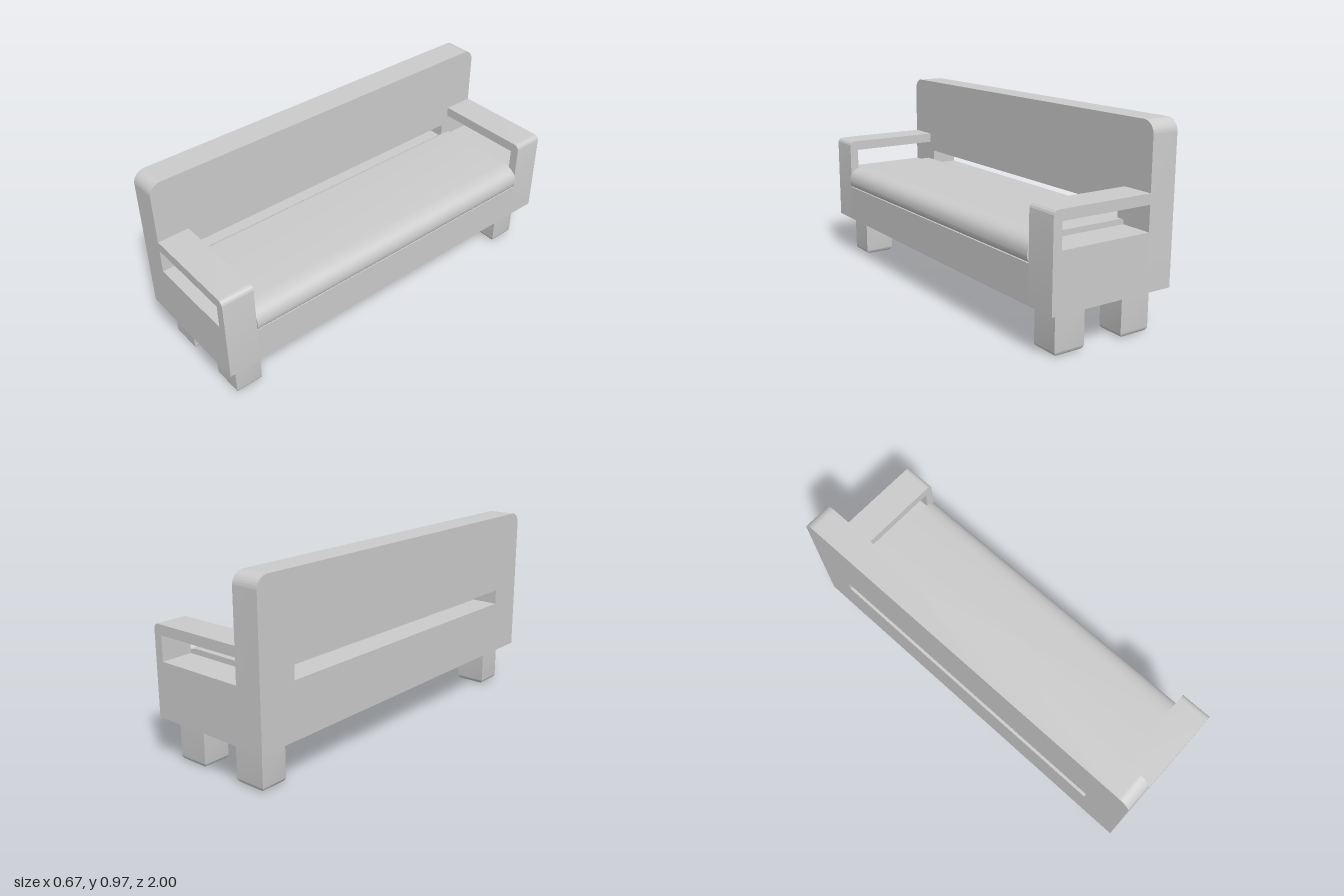
import * as THREE from 'three';
import { toCreasedNormals } from 'three/addons/utils/BufferGeometryUtils.js';

const material = new THREE.MeshStandardMaterial({ color: 0xcccccc });

function addMesh(parent, name, geometry, x = 0, y = 0, z = 0) {
  const mesh = new THREE.Mesh(geometry, material);
  mesh.name = name;
  mesh.position.set(x, y, z);
  parent.add(mesh);
  return mesh;
}

function extrude(shape, depth) {
  return new THREE.ExtrudeGeometry(shape, { depth, bevelEnabled: false, curveSegments: 8 });
}

function rectHole(x0, x1, y0, y1) {
  const hole = new THREE.Path();
  hole.moveTo(x0, y0).lineTo(x0, y1).lineTo(x1, y1).lineTo(x1, y0).closePath();
  return hole;
}

// Block leg whose four bottom edges are rounded over while its uprights stay sharp
function legGeometry(width, height, depth, radius) {
  const steps = 6;
  const geometry = new THREE.BoxGeometry(width, height, depth, 1, steps + 1, 1);
  const p = geometry.attributes.position;
  for (let i = 0; i < p.count; i++) {
    const row = Math.round((p.getY(i) / height + 0.5) * (steps + 1));
    if (row > steps) {
      p.setY(i, height);
      continue;
    }
    const a = (row / steps) * Math.PI / 2;
    const inset = radius * (1 - Math.sin(a));
    p.setXYZ(i,
      p.getX(i) - Math.sign(p.getX(i)) * inset,
      radius * 0.75 * (1 - Math.cos(a)),
      p.getZ(i) - Math.sign(p.getZ(i)) * inset * 0.75);
  }
  return toCreasedNormals(geometry, 0.6);
}

export function createModel() {
  const bench = new THREE.Group();
  bench.name = 'bench';
  const back = -0.335, seatBack = -0.195, front = 0.325;
  const bottom = 0.213, seatY = 0.4, inner = 0.84;

  // Backrest with rounded upper corners and a long low slot
  const r = 0.06, top = 0.97;
  const panel = new THREE.Shape();
  panel.moveTo(-1, bottom).lineTo(1, bottom).lineTo(1, top - r);
  panel.absarc(1 - r, top - r, r, 0, Math.PI / 2);
  panel.lineTo(-1 + r, top);
  panel.absarc(-1 + r, top - r, r, Math.PI / 2, Math.PI);
  panel.closePath();
  panel.holes.push(rectHole(-0.8, 0.8, 0.488, 0.563));
  const panelGeometry = extrude(panel, seatBack - back).rotateY(Math.PI / 2);
  addMesh(bench, 'backrest', toCreasedNormals(panelGeometry, 0.6), back);

  // Seat base between the arms
  addMesh(bench, 'seatBase',
    new THREE.BoxGeometry(front - seatBack, seatY - bottom, inner * 2),
    (front + seatBack) / 2, (seatY + bottom) / 2, 0);

  // Side panels with an open window under each armrest
  const c = 0.027, armTop = 0.66;
  const arm = new THREE.Shape();
  arm.moveTo(seatBack, bottom).lineTo(front, bottom).lineTo(front, armTop - c);
  arm.absarc(front - c, armTop - c, c, 0, Math.PI / 2);
  arm.lineTo(seatBack, armTop).closePath();
  arm.holes.push(rectHole(seatBack + 0.0005, 0.28, 0.488, 0.61));
  const armGeometry = toCreasedNormals(extrude(arm, 1 - inner), 0.6);
  addMesh(bench, 'leftFacingArm', armGeometry, 0, 0, -1);
  addMesh(bench, 'rightFacingArm', armGeometry, 0, 0, inner);

  // Seat cushion with a soft rolled front edge
  const pad = new THREE.Shape();
  pad.moveTo(seatBack, seatY).lineTo(0.315, seatY);
  pad.quadraticCurveTo(0.334, 0.408, 0.334, 0.435);
  pad.bezierCurveTo(0.334, 0.482, 0.305, 0.512, 0.235, 0.515);
  pad.lineTo(seatBack + 0.018, 0.515);
  pad.quadraticCurveTo(seatBack, 0.515, seatBack, 0.497);
  pad.closePath();
  addMesh(bench, 'cushion', toCreasedNormals(extrude(pad, inner * 2), 0.6), 0, 0, -inner);

  // Four block legs
  const leg = legGeometry(0.16, bottom, 0.14, 0.03);
  for (const x of [-0.19, 0.18]) {
    for (const z of [-0.87, 0.87]) {
      addMesh(bench, x > 0 ? 'frontLeg' : 'backLeg', leg, x, 0, z);
    }
  }
  return bench;
}
